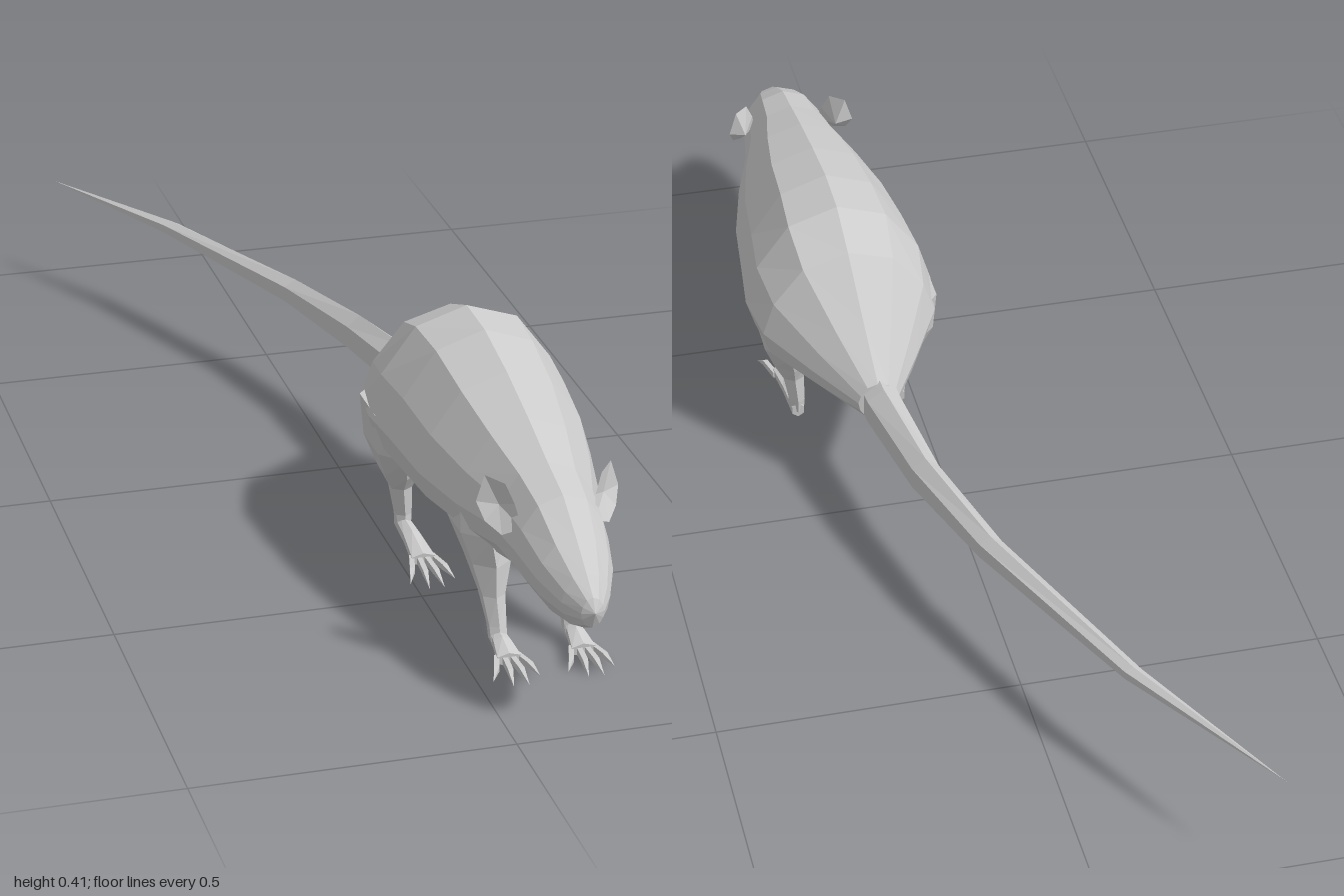
import * as THREE from 'three';

const material = new THREE.MeshStandardMaterial({ color: 0xcccccc, flatShading: true, side: THREE.DoubleSide });
const V = (x, y, z) => new THREE.Vector3(x, y, z);
const MID = 0.122; // the body's centre line in x

const centroid = (ring) => ring.reduce((sum, p) => sum.add(p), V(0, 0, 0)).divideScalar(ring.length);

// Skin over a row of rings, closed at each end by a fan to a point
function loft(name, rings, startTip = centroid(rings[0]), endTip = centroid(rings[rings.length - 1])) {
  const tris = [];
  const n = rings[0].length;
  const last = rings[rings.length - 1];
  for (let j = 0; j < n; j++) {
    const k = (j + 1) % n;
    tris.push([startTip, rings[0][k], rings[0][j]]);
    for (let i = 0; i < rings.length - 1; i++) {
      const a = rings[i], b = rings[i + 1];
      tris.push([a[j], a[k], b[k]], [a[j], b[k], b[j]]);
    }
    tris.push([endTip, last[j], last[k]]);
  }
  // Turn the faces outward, whichever way the rings run
  const volume = tris.reduce((sum, [a, b, c]) => sum + a.dot(b.clone().cross(c)), 0);
  if (volume < 0) tris.forEach((t) => t.reverse());
  const geometry = new THREE.BufferGeometry().setFromPoints(tris.flat());
  geometry.computeVertexNormals();
  const mesh = new THREE.Mesh(geometry, material);
  mesh.name = name;
  return mesh;
}

// Oval ring, lying flat or standing across z
function oval(x, y, z, rx, r2, flat, sides = 6) {
  return Array.from({ length: sides }, (_, i) => {
    const a = ((i + 0.5) / sides) * Math.PI * 2;
    const u = Math.cos(a) * rx, v = Math.sin(a) * r2;
    return flat ? V(x + u, y, z + v) : V(x + u, y + v, z);
  });
}

// Half cross-section of the trunk from spine to belly
const HALF = [[0, 1], [0.52, 0.84], [0.87, 0.4], [1, 0], [0.91, -0.4], [0.6, -0.8], [0, -1]];
function bodyRing([z, cx, w, top, wide, bottom]) {
  const at = (u, v) => V(cx + u * w, wide + v * (v > 0 ? top - wide : wide - bottom), z);
  const right = HALF.map(([u, v]) => at(u, v));
  const left = HALF.slice(1, -1).reverse().map(([u, v]) => at(-u, v));
  return [...right, ...left];
}

function makeBody() {
  // z, centre x, half width, top, widest height, bottom
  const sections = [
    [0.05, 0.114, 0.034, 0.225, 0.19, 0.152],
    [0.13, 0.12, 0.09, 0.295, 0.21, 0.138],
    [0.22, 0.127, 0.15, 0.38, 0.235, 0.125],
    [0.31, 0.127, 0.163, 0.414, 0.24, 0.12],
    [0.41, 0.126, 0.153, 0.413, 0.24, 0.123],
    [0.53, 0.125, 0.141, 0.392, 0.235, 0.13],
    [0.65, 0.123, 0.115, 0.364, 0.235, 0.142],
    [0.75, 0.121, 0.085, 0.337, 0.24, 0.157],
    [0.83, 0.12, 0.074, 0.318, 0.235, 0.15],
    [0.9, 0.118, 0.06, 0.282, 0.22, 0.15],
    [0.955, 0.117, 0.038, 0.248, 0.205, 0.158],
    [0.988, 0.117, 0.018, 0.224, 0.2, 0.175],
  ];
  return loft('body', sections.map(bodyRing), undefined, V(0.117, 0.203, 1));
}

function makeTail() {
  // x, y, z, half width, half height
  const path = [
    [0.113, 0.188, 0.09, 0.034, 0.042],
    [0.108, 0.185, 0.03, 0.033, 0.042],
    [0.078, 0.176, -0.15, 0.026, 0.038],
    [0.018, 0.178, -0.36, 0.022, 0.026],
    [-0.125, 0.182, -0.71, 0.016, 0.014],
  ];
  return loft('tail', path.map((p) => oval(...p, false)), undefined, V(-0.285, 0.184, -1));
}

// Leg from trunk to ankle: offset from the centre line, y, z, half width, half depth
const FRONT_LEG = [
  [0.075, 0.25, 0.62, 0.038, 0.07],
  [0.07, 0.19, 0.625, 0.045, 0.075],
  [0.062, 0.14, 0.65, 0.036, 0.05],
  [0.062, 0.09, 0.675, 0.021, 0.028],
  [0.06, 0.045, 0.697, 0.016, 0.017],
  [0.06, 0.022, 0.705, 0.015, 0.016],
];
const HIND_LEG = [
  [0.115, 0.25, 0.29, 0.045, 0.09],
  [0.11, 0.18, 0.29, 0.044, 0.085],
  [0.1, 0.13, 0.287, 0.034, 0.05],
  [0.095, 0.095, 0.28, 0.02, 0.022],
  [0.09, 0.045, 0.278, 0.015, 0.017],
  [0.09, 0.022, 0.28, 0.013, 0.017],
];

function makeLeg(name, side, leg) {
  const rings = leg.map(([dx, ...rest]) => oval(MID + side * dx, ...rest, true));
  return loft(name, rings);
}

// Low paw with four pointed, splayed toes
function makeFoot(name, side, dx, heel, knuckle, tip) {
  const foot = new THREE.Group();
  foot.name = name;
  const x = MID + side * dx;
  foot.add(loft('palm', [
    oval(x, 0.026, heel, 0.012, 0.014, false),
    oval(x, 0.024, (heel + knuckle) / 2, 0.016, 0.013, false),
    oval(x, 0.016, knuckle, 0.022, 0.011, false),
  ]));
  [-1.5, -0.5, 0.5, 1.5].forEach((t) => {
    const shorter = Math.abs(t) > 1 ? 0.025 : 0;
    const length = tip - shorter - knuckle;
    foot.add(loft('toe', [
      oval(x + t * 0.011, 0.015, knuckle - 0.012, 0.006, 0.008, false, 4),
      oval(x + t * 0.018, 0.014, knuckle + length * 0.55, 0.006, 0.007, false, 4),
    ], undefined, V(x + t * 0.025, 0.003, tip - shorter)));
  });
  return foot;
}

// Cupped ear: a rim with a hollow front and a rounded back
function makeEar(name, side) {
  const rim = [
    [0.058, 0.262, 0.815], [0.064, 0.295, 0.795], [0.076, 0.325, 0.785], [0.1, 0.33, 0.757],
    [0.113, 0.288, 0.757], [0.104, 0.262, 0.775], [0.085, 0.248, 0.8],
  ].map(([dx, y, z]) => V(MID - 0.002 + side * dx, y, z));
  const x = MID + side * 0.083;
  return loft(name, [rim], V(x, 0.285, 0.752), V(x, 0.285, 0.77));
}

export function createModel() {
  const model = new THREE.Group();
  model.name = 'rodent';
  model.add(makeBody(), makeTail());
  for (const [label, side] of [['left', 1], ['right', -1]]) {
    model.add(
      makeEar(label + 'Ear', side),
      makeLeg(label + 'FrontLeg', side, FRONT_LEG),
      makeLeg(label + 'HindLeg', side, HIND_LEG),
      makeFoot(label + 'FrontFoot', side, 0.06, 0.69, 0.765, 0.83),
      makeFoot(label + 'HindFoot', side, 0.09, 0.265, 0.4, 0.48),
    );
  }
  return model;
}
